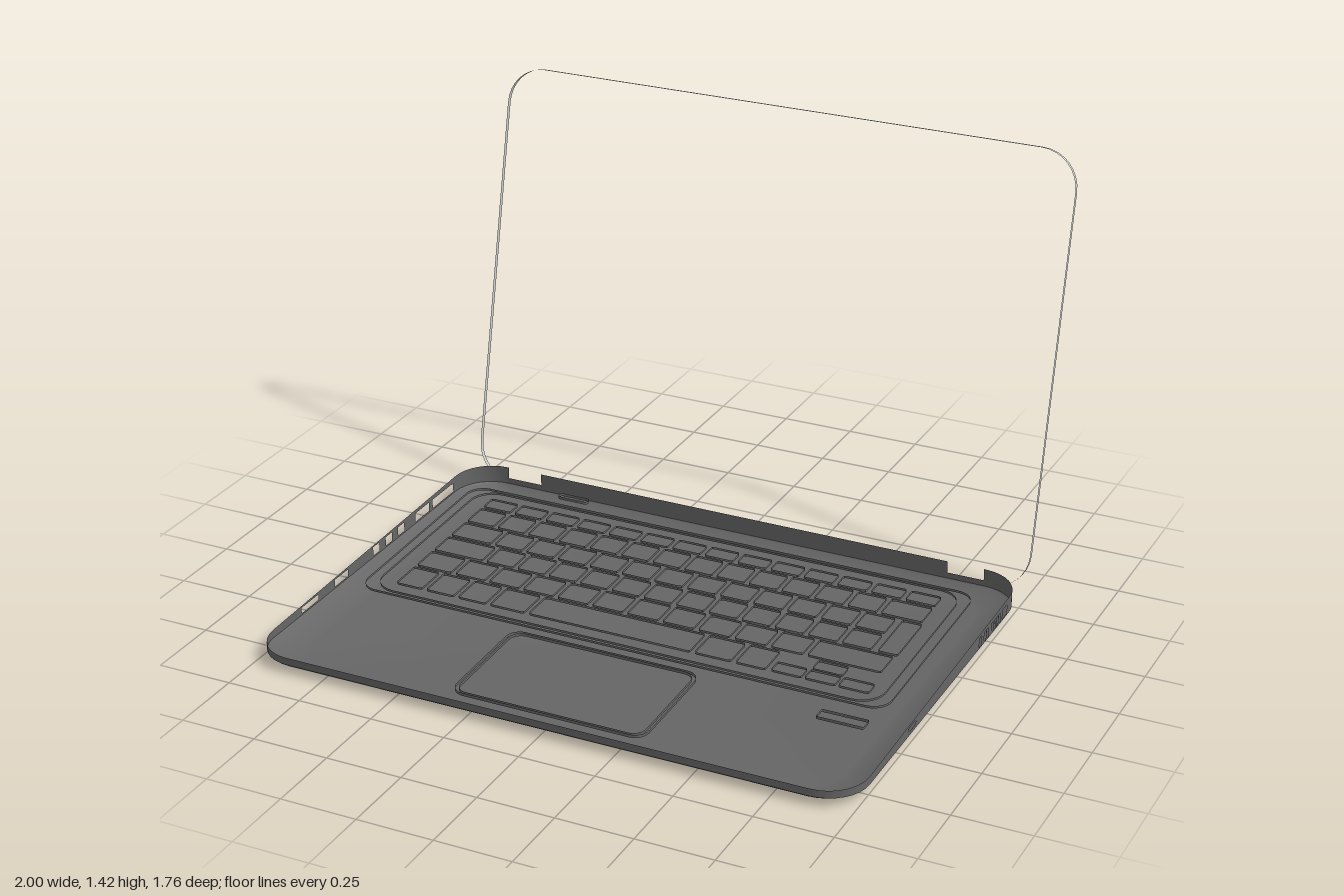
import * as THREE from 'three';
import { mergeGeometries, toCreasedNormals } from 'three/addons/utils/BufferGeometryUtils.js';

const BACK = -0.54, FRONT = 0.875, R = 0.13, RIM = 0.03;
const deckY = z => 0.09 - (z - BACK) * 0.025; // the top edge slopes down to the front

const baseMat = new THREE.MeshStandardMaterial({ color: 0x666666, side: THREE.DoubleSide });
const lidMat = new THREE.MeshStandardMaterial({ color: 0xcccccc, side: THREE.DoubleSide });

// Rounded rectangle as [x, z] points, one arc per corner
function roundedLoop(x0, x1, z0, z1, r, n = 8) {
  const pts = [];
  const corners = [[x1 - r, z1 - r], [x0 + r, z1 - r], [x0 + r, z0 + r], [x1 - r, z0 + r]];
  corners.forEach(([cx, cz], k) => {
    for (let i = 0; i <= n; i++) {
      const a = (k + i / n) * Math.PI / 2;
      pts.push([cx + r * Math.cos(a), cz + r * Math.sin(a)]);
    }
  });
  return pts;
}

// Skin a list of equal rings of [x, y, z] points
function skin(rings, closed = true) {
  const n = rings[0].length, index = [];
  for (let j = 0; j < rings.length - 1; j++) {
    for (let i = 0; i < (closed ? n : n - 1); i++) {
      const a = j * n + i, b = j * n + (i + 1) % n;
      index.push(a, a + n, b, b, a + n, b + n);
    }
  }
  const g = new THREE.BufferGeometry();
  g.setAttribute('position', new THREE.Float32BufferAttribute(rings.flat(2), 3));
  g.setIndex(index);
  return toCreasedNormals(g, 0.6);
}

// Upright band along a path, between two heights given as functions of z
const ribbon = (pts, low, high, closed = true) => skin([
  pts.map(([x, z]) => [x, low(z), z]),
  pts.map(([x, z]) => [x, high(z), z]),
], closed);

// Thin outline just under deck level
const outline = (x0, x1, z0, z1, r, depth = 0.01, n = 3) =>
  ribbon(roundedLoop(x0, x1, z0, z1, r, n), z => deckY(z) - depth, deckY);

function polygon(points) {
  return new THREE.Shape(points.map(([x, y]) => new THREE.Vector2(x, y)));
}

function rectHole(a, b, y0, y1) {
  const h = new THREE.Path();
  h.moveTo(a, y0).lineTo(a, y1).lineTo(b, y1).lineTo(b, y0).closePath();
  return h;
}

// Straight side wall with port openings, each [z0, z1, y0, y1]
function sideWall(x, ports) {
  const z0 = BACK + R, z1 = FRONT - R;
  const s = polygon([[z0, RIM], [z1, RIM], [z1, deckY(z1)], [z0, deckY(z0)]]);
  for (const [a, b, lo = 0.036, hi = 0.067] of ports) s.holes.push(rectHole(a, b, lo, hi));
  return new THREE.ShapeGeometry(s).rotateY(-Math.PI / 2).translate(x, 0, 0);
}

// Back wall with a notch for each hinge
function backWall() {
  const top = deckY(BACK), e = 1 - R, low = 0.05;
  const half = [[0.74, top], [0.74, low], [0.865, low], [0.865, top], [e, top], [e, RIM]];
  const mirrored = half.map(([x, y]) => [-x, y]).reverse();
  return new THREE.ShapeGeometry(polygon([...half, ...mirrored])).translate(0, 0, BACK);
}

// Bottom shell: bevel rings closed by a flat floor
function bottomShell() {
  const ring = (t, y) => roundedLoop(-1 + 0.1 * t, 1 - 0.1 * t, BACK + 0.05 * t, FRONT - 0.08 * t, R)
    .map(([x, z]) => [x, y, z]);
  const floor = ring(1, 0);
  return skin([ring(0, RIM), ring(0.08, 0.024), ring(0.85, 0.002), floor,
    floor.map(() => [0, 0, (BACK + FRONT) / 2])]);
}

// Keys: each row is z0, z1, right end and relative key widths
function keyOutlines() {
  const ones = n => Array(n).fill(1);
  const rows = [
    [-0.315, -0.255, 0.815, ones(14)],
    [-0.24, -0.143, 0.815, [...ones(13), 1.35]],
    [-0.13, -0.035, 0.735, [1.4, ...ones(12)]],
    [-0.02, 0.077, 0.735, [1.7, ...ones(12)]],
    [0.09, 0.19, 0.815, [1.15, ...ones(10), 2.1]],
    [0.205, 0.32, 0.49, [0.95, 1, 1, 1.2, 5, 1.2, 1]],
  ];
  const keys = [[0.75, 0.815, -0.13, 0.077]];
  const left = -0.815, gap = 0.008;
  for (const [z0, z1, right, widths] of rows) {
    const unit = (right - left) / widths.reduce((a, b) => a + b);
    let x = left;
    for (const w of widths) {
      keys.push([x + gap, x + w * unit - gap, z0, z1]);
      x += w * unit;
    }
  }
  // arrow keys
  for (const [x, z] of [[0.5, 0.265], [0.61, 0.265], [0.72, 0.265], [0.61, 0.205]]) {
    keys.push([x, x + 0.1, z, z + 0.053]);
  }
  return mergeGeometries(keys.map(k => outline(...k, 0.008, 0.008, 2)));
}

export function createModel() {
  const model = new THREE.Group();
  const add = (parent, name, geometry, material = baseMat) => {
    const m = new THREE.Mesh(geometry, material);
    m.name = name;
    parent.add(m);
    return m;
  };

  // Lower case: open tray with ported walls
  const base = new THREE.Group();
  base.name = 'base';
  model.add(base);
  add(base, 'bottomShell', bottomShell());
  const loop = roundedLoop(-1, 1, BACK, FRONT, R);
  const rim = () => RIM;
  add(base, 'frontWall', ribbon(loop.slice(0, 18), rim, deckY, false));
  add(base, 'backRightCorner', ribbon(loop.slice(18, 27), rim, deckY, false));
  add(base, 'backLeftCorner', ribbon(loop.slice(27, 36), rim, deckY, false));
  add(base, 'backWall', backWall());
  add(base, 'leftWall', sideWall(1, [
    [-0.385, -0.345], [-0.325, -0.312], [-0.305, -0.292], [-0.285, -0.272], [-0.265, -0.252],
    [-0.22, -0.205], [-0.198, -0.183], [-0.16, -0.14], [0.39, 0.445, 0.043, 0.056],
  ]));
  add(base, 'rightWall', sideWall(-1, [
    [-0.39, -0.25], [-0.225, -0.135], [-0.06, -0.02], [0.02, 0.06], [0.1, 0.14],
    [0.3, 0.38, 0.036, 0.06], [0.48, 0.58, 0.036, 0.055],
  ]));

  // Keyboard
  const keyboard = new THREE.Group();
  keyboard.name = 'keyboard';
  model.add(keyboard);
  add(keyboard, 'keyboardOuterFrame', outline(-0.905, 0.9, -0.375, 0.39, 0.06, 0.008, 6));
  add(keyboard, 'keyboardInnerFrame', outline(-0.87, 0.865, -0.362, 0.372, 0.08, 0.008, 6));
  add(keyboard, 'keys', keyOutlines());

  // Touchpad, power button and fingerprint reader
  add(model, 'touchpadFrame', outline(-0.325, 0.32, 0.43, 0.83, 0.045, 0.01, 6));
  add(model, 'touchpad', outline(-0.313, 0.308, 0.438, 0.822, 0.04, 0.01, 6));
  add(model, 'powerButton', outline(-0.615, -0.505, -0.447, -0.422, 0.01));
  add(model, 'fingerprintReader', outline(0.73, 0.882, 0.463, 0.507, 0.004));

  // Lid rim: thin band leaning back behind the base
  const lid = add(model, 'lidRim',
    ribbon(roundedLoop(-1, 1, -0.713, 0.713, 0.125), () => -0.009, () => 0.009), lidMat);
  lid.rotation.x = Math.PI / 2 - 0.213;
  lid.position.set(0, 0.718, -0.722);

  return model;
}
